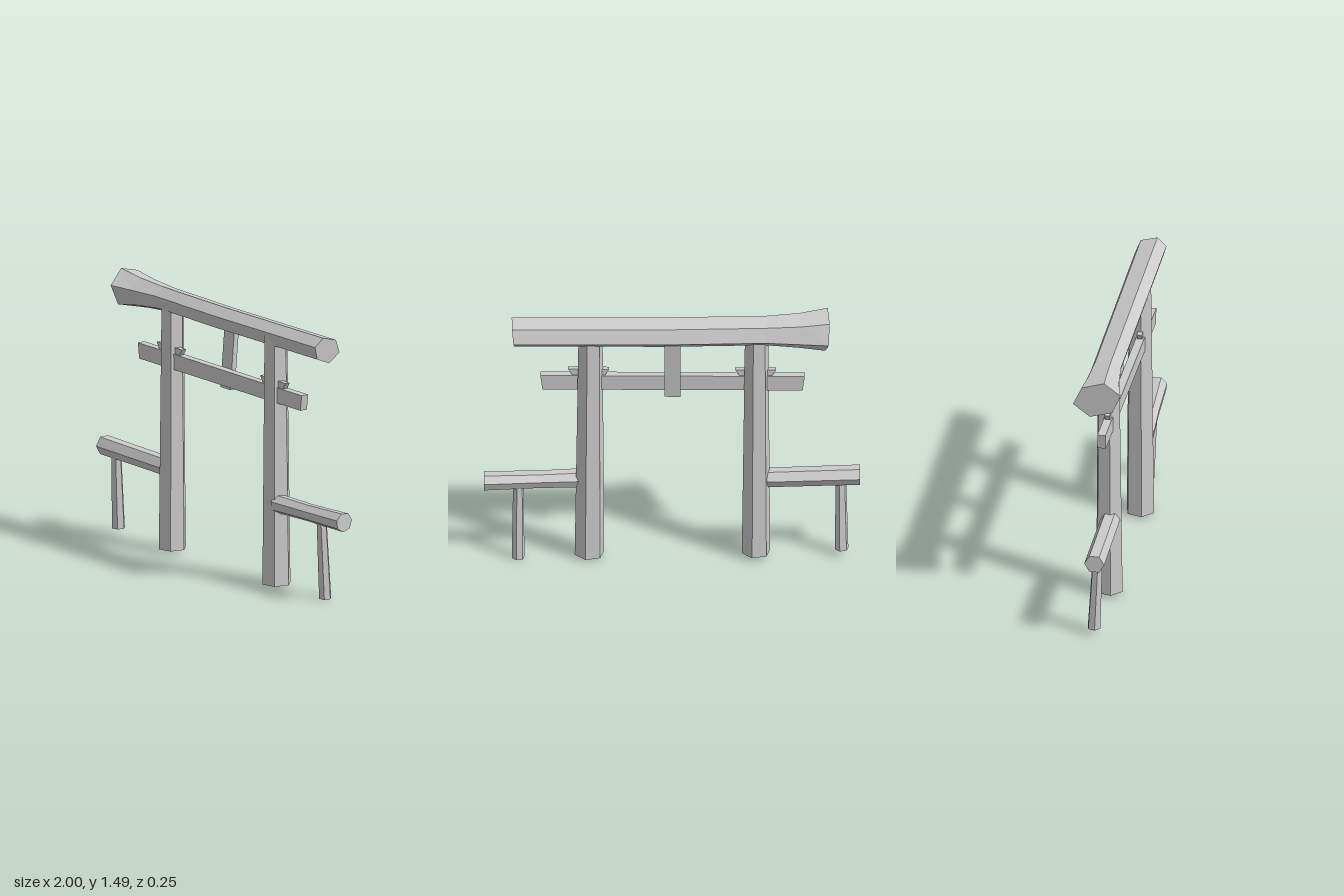
import * as THREE from 'three';

const material = new THREE.MeshStandardMaterial({ color: 0xcccccc, flatShading: true });
const v = (x, y, z) => new THREE.Vector3(x, y, z);

// Skin a list of equal-sized rings, closing both ends. Rings run counterclockwise about the path.
function loft(name, rings) {
  const pos = [];
  const tri = (...pts) => pts.forEach((p) => pos.push(p.x, p.y, p.z));
  const n = rings[0].length;
  for (let i = 0; i < rings.length - 1; i++) {
    const a = rings[i], b = rings[i + 1];
    for (let k = 0; k < n; k++) {
      const m = (k + 1) % n;
      tri(a[k], a[m], b[m]);
      tri(a[k], b[m], b[k]);
    }
  }
  const first = rings[0], last = rings[rings.length - 1];
  for (let k = 1; k < n - 1; k++) {
    tri(first[0], first[k + 1], first[k]);
    tri(last[0], last[k], last[k + 1]);
  }
  const geo = new THREE.BufferGeometry();
  geo.setAttribute('position', new THREE.Float32BufferAttribute(pos, 3));
  geo.computeVertexNormals();
  const mesh = new THREE.Mesh(geo, material);
  mesh.name = name;
  return mesh;
}

// Polygon ring lying across the y axis or the x axis
function ring(axis, [x, y, z], r, sides, turn) {
  return Array.from({ length: sides }, (_, k) => {
    const t = (turn * Math.PI) / 180 + (k / sides) * Math.PI * 2;
    const c = r * Math.cos(t), s = r * Math.sin(t);
    return axis === 'y' ? v(x + c, y, z - s) : v(x, y + c, z + s);
  });
}

// Log through stations of [centre, radius]
const log = (name, axis, sides, turn, stations) =>
  loft(name, stations.map(([c, r]) => ring(axis, c, r, sides, turn)));

// Plank with its own half width and z at the bottom and the top
function plank(name, cx, y0, y1, half0, half1, z0, z1, thick) {
  const level = (y, h, z) => [
    v(cx - h, y, z + thick / 2), v(cx + h, y, z + thick / 2),
    v(cx + h, y, z - thick / 2), v(cx - h, y, z - thick / 2),
  ];
  return loft(name, [level(y0, half0, z0), level(y1, half1, z1)]);
}

export function createModel() {
  const g = new THREE.Group();
  g.name = 'gate';

  // Main posts, tapering upward
  g.add(log('rightPost', 'y', 6, 15, [[[-0.447, 0.02, -0.006], 0.078], [[-0.45, 1.36, -0.01], 0.064]]));
  g.add(log('leftPost', 'y', 6, 15, [[[0.439, 0.01, -0.012], 0.081], [[0.433, 1.375, -0.013], 0.066]]));

  // Top beam: uneven hexagon section [y, z] about its centre, flaring at one end
  const section = [[0.075, 0.035], [0.03, 0.085], [-0.04, 0.065], [-0.075, -0.018], [-0.025, -0.085], [0.05, -0.055]];
  const flare = [[0.107, 0.04], [0.03, 0.125], [-0.08, 0.08], [-0.11, -0.04], [-0.03, -0.128], [0.075, -0.08]];
  const beamRing = (x, y, z, f, lean, yaw) => section.map(([a, b], k) => {
    const dy = THREE.MathUtils.lerp(a, flare[k][0], f);
    const dz = THREE.MathUtils.lerp(b, flare[k][1], f);
    return v(x + dy * lean + dz * yaw, y + dy, z + dz);
  });
  g.add(loft('topBeam', [
    beamRing(-0.822, 1.38, 0, 1, -0.1, 0.12),
    beamRing(-0.68, 1.375, -0.011, 0.4, 0, 0.05),
    beamRing(-0.5, 1.375, -0.018, 0, 0, 0),
    beamRing(0, 1.368, -0.026, 0, 0, 0),
    beamRing(0.845, 1.37, -0.036, 0, 0.1, 0),
  ]));

  // Lower tie beam, wedges and leaning centre strut
  g.add(plank('tieBeam', -0.003, 1.015, 1.1, 0.692, 0.703, 0.001, 0.001, 0.044));
  for (const [name, x] of [['rightWedge', -0.445], ['leftWedge', 0.443]])
    g.add(plank(name, x, 1.095, 1.135, 0.084, 0.109, 0.001, 0.001, 0.028));
  g.add(plank('centreStrut', -0.003, 0.987, 1.32, 0.043, 0.043, -0.03, -0.058, 0.03));

  // Side rails running outward from the posts
  g.add(log('rightRail', 'x', 6, 30, [[[-1, 0.477, 0.02], 0.054], [[-0.48, 0.465, 0.006], 0.052]]));
  g.add(log('leftRail', 'x', 7, 20, [
    [[0.475, 0.459, 0.006], 0.052], [[0.72, 0.457, -0.01], 0.048], [[1, 0.457, -0.028], 0.053],
  ]));

  // Short outer legs
  g.add(log('rightLeg', 'y', 6, 15, [[[-0.902, 0.037, 0], 0.037], [[-0.898, 0.45, 0.018], 0.029]]));
  g.add(log('leftLeg', 'y', 6, 15, [[[0.818, 0, -0.043], 0.035], [[0.817, 0.43, -0.02], 0.029]]));
  return g;
}
